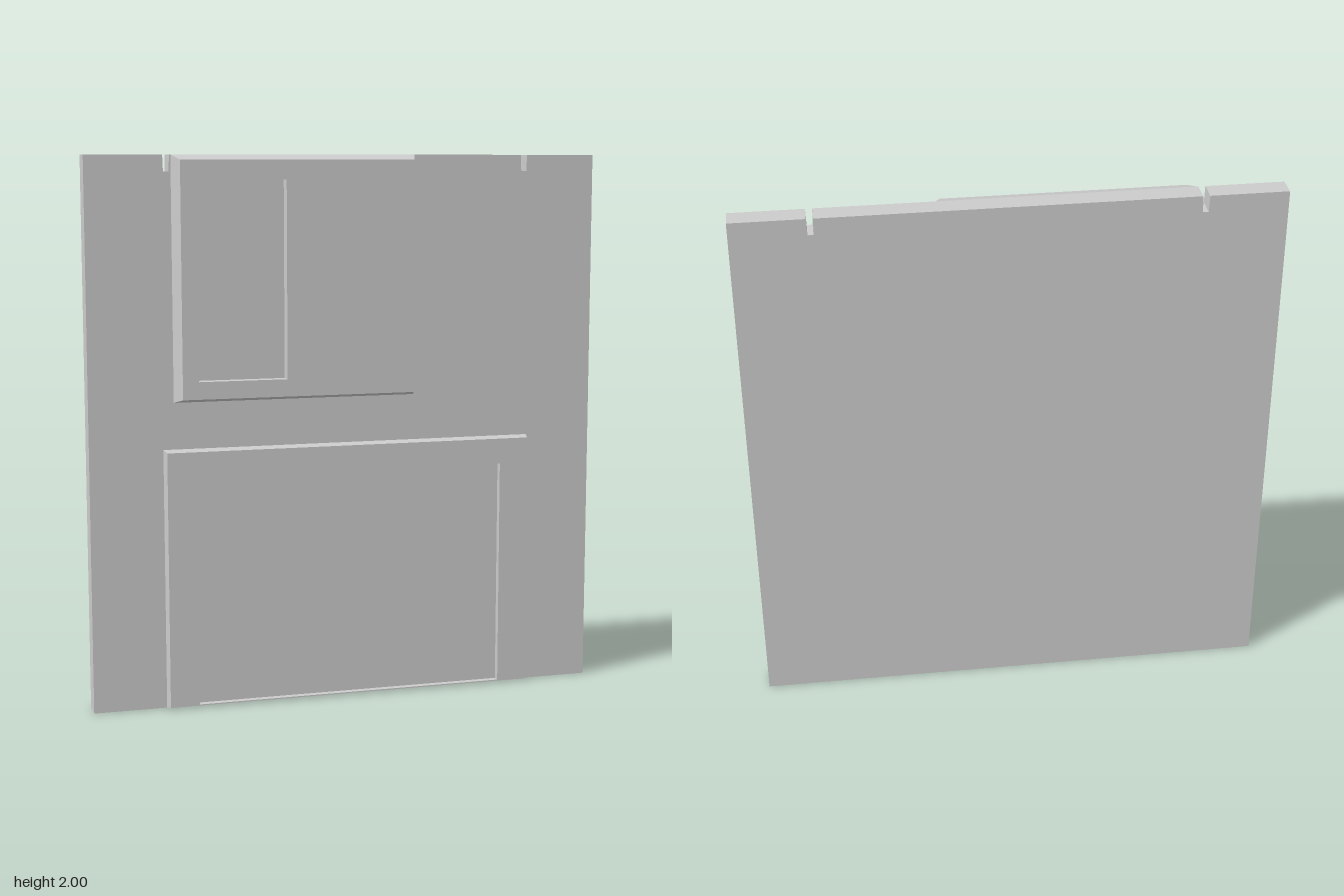
import * as THREE from 'three';

const BACK = -0.067, FACE = 0.011;

// Corners of a rectangle, counter-clockwise seen from the front
const rect = (x0, x1, y0, y1, z) => [[x0, y0, z], [x1, y0, z], [x1, y1, z], [x0, y1, z]];

// Skin a series of four-cornered rings and close the last one
function skinRings(rings) {
  const pos = [];
  const quad = (a, b, c, d) => pos.push(...a, ...b, ...c, ...a, ...c, ...d);
  for (let r = 0; r < rings.length - 1; r++) {
    for (let i = 0; i < 4; i++) {
      const j = (i + 1) % 4;
      quad(rings[r][i], rings[r][j], rings[r + 1][j], rings[r + 1][i]);
    }
  }
  quad(...rings[rings.length - 1]);
  const geo = new THREE.BufferGeometry();
  geo.setAttribute('position', new THREE.Float32BufferAttribute(pos, 3));
  geo.computeVertexNormals();
  return geo;
}

export function createModel() {
  const group = new THREE.Group();
  const material = new THREE.MeshStandardMaterial({ color: 0xcccccc, flatShading: true });
  const add = (name, geo) => {
    const mesh = new THREE.Mesh(geo, material);
    mesh.name = name;
    group.add(mesh);
    return mesh;
  };

  // Flat square case with two narrow notches in its top edge
  const outline = new THREE.Shape();
  outline.moveTo(-0.955, 0).lineTo(0.955, 0).lineTo(0.955, 2);
  for (const x of [0.68, -0.665]) {
    outline.lineTo(x + 0.012, 2).lineTo(x + 0.01, 1.94);
    outline.lineTo(x - 0.01, 1.94).lineTo(x - 0.012, 2);
  }
  outline.lineTo(-0.955, 2).closePath();
  const body = new THREE.ExtrudeGeometry(outline, { depth: FACE - BACK, bevelEnabled: false });
  add('caseBody', body.translate(0, 0, BACK));

  // Sliding cover: sloped sides and a deep rectangular window pocket
  add('slidingCover', skinRings([
    rect(-0.648, 0.252, 1.122, 2, FACE),
    rect(-0.625, 0.235, 1.137, 1.982, 0.067),
    rect(-0.567, -0.242, 1.2, 1.912, 0.067),
    rect(-0.567, -0.242, 1.2, 1.912, 0.024),
  ]));

  // Label frame: slightly sloped sides and a shallow pocket reaching the bottom
  add('labelFrame', skinRings([
    rect(-0.688, 0.702, 0, 0.953, FACE),
    rect(-0.68, 0.695, 0.007, 0.945, 0.043),
    rect(-0.572, 0.587, 0.011, 0.85, 0.043),
    rect(-0.572, 0.587, 0.011, 0.85, 0.018),
  ]));

  return group;
}
